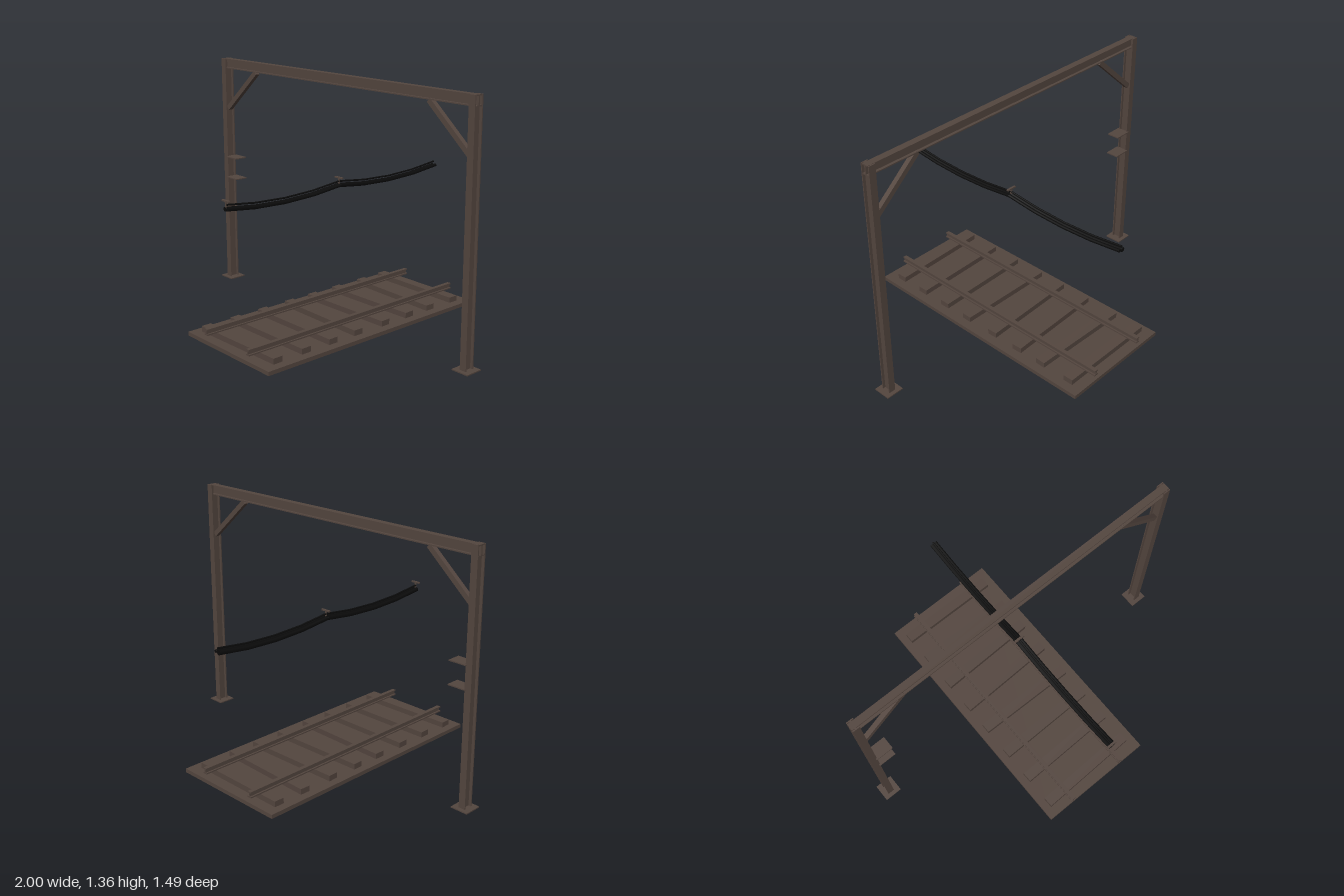
import * as THREE from 'three';

const steel = new THREE.MeshStandardMaterial({ color: 0x54463f });
steel.name = 'brown steel';
const rubber = new THREE.MeshStandardMaterial({ color: 0x0a0a0a });
rubber.name = 'black cable';

function add(parent, name, geometry, x, y, z, material = steel) {
  const mesh = new THREE.Mesh(geometry, material);
  mesh.name = name;
  mesh.position.set(x, y, z);
  parent.add(mesh);
  return mesh;
}

const box = (w, h, d) => new THREE.BoxGeometry(w, h, d);

// I-section of width w and height h, extruded along z and centred
function iBeam(w, h, flange, web, length, headWidth = w) {
  const a = w / 2, t = headWidth / 2, b = h / 2, c = b - flange, s = web / 2;
  const points = [
    [-a, -b], [a, -b], [a, -c], [s, -c], [s, c], [t, c],
    [t, b], [-t, b], [-t, c], [-s, c], [-s, -c], [-a, -c],
  ].map(([x, y]) => new THREE.Vector2(x, y));
  const geometry = new THREE.ExtrudeGeometry(new THREE.Shape(points), { depth: length, bevelEnabled: false });
  return geometry.translate(0, 0, -length / 2);
}

function buildGantry() {
  const gantry = new THREE.Group();
  gantry.name = 'gantry';

  // Crossbeam along x
  const beam = iBeam(0.038, 0.056, 0.006, 0.008, 1.94).rotateY(Math.PI / 2);
  add(gantry, 'crossbeam', beam, 0, 1.332, 0);

  // Posts, base plates and diagonal braces on both sides
  const post = iBeam(0.038, 0.056, 0.006, 0.008, 1.346).rotateX(-Math.PI / 2);
  const rise = 0.235, run = 0.27;
  for (const [side, label] of [[1, 'left'], [-1, 'right']]) {
    add(gantry, label + 'Post', post, side * 0.951, 0.687, 0);
    add(gantry, label + 'BasePlate', box(0.1, 0.006, 0.1), side * 0.95, 0.014, 0);
    const brace = add(gantry, label + 'Brace', box(Math.hypot(rise, run), 0.028, 0.026),
      side * 0.805, 1.184, 0);
    brace.rotation.z = -side * Math.atan2(rise, run);
  }

  // Small shelf plates on the right post
  for (const y of [0.65, 0.775]) {
    add(gantry, 'shelfPlate', box(0.1, 0.006, 0.074), -0.888, y, 0);
  }
  return gantry;
}

function buildCables() {
  const cables = new THREE.Group();
  cables.name = 'hangingCables';

  // Three cables sagging over two spans: x, end height, radius
  for (const [x, y, radius] of [[0.029, 0.791, 0.005], [0.022, 0.768, 0.0125], [0.044, 0.772, 0.009]]) {
    for (const z of [0.37, -0.37]) {
      const sag = new THREE.QuadraticBezierCurve3(
        new THREE.Vector3(0, 0, -0.37),
        new THREE.Vector3(0, -0.056, 0),
        new THREE.Vector3(0, 0, 0.37));
      add(cables, 'cable', new THREE.TubeGeometry(sag, 4, radius, 8), x, y, z, rubber);
      for (const end of [-1, 1]) {
        const cap = add(cables, 'cableEnd', new THREE.CircleGeometry(radius, 8), x, y, z + end * 0.37, rubber);
        if (end < 0) cap.rotation.y = Math.PI;
      }
    }
  }

  // T-shaped hangers
  for (const z of [0, 0.738]) {
    add(cables, 'hangerBar', box(0.058, 0.008, 0.012), 0.029, 0.81, z);
    add(cables, 'hangerStem', box(0.008, 0.03, 0.008), 0.029, 0.793, z);
  }
  return cables;
}

function buildTrack() {
  const track = new THREE.Group();
  track.name = 'track';
  add(track, 'trackBed', box(0.686, 0.022, 1.48), 0, 0.011, 0);

  // Sleepers, each slightly askew
  [-0.005, -0.032, 0.027, 0.03, -0.018, 0.009, 0.018, 0.027].forEach((turn, i) => {
    const sleeper = add(track, 'sleeper', box(0.59, 0.031, 0.058), -0.003, 0.0375, (i - 3.5) * 0.185);
    sleeper.rotation.y = turn;
  });

  // Rails
  const rail = iBeam(0.026, 0.033, 0.007, 0.007, 1.48, 0.023);
  for (const x of [-0.177, 0.177]) add(track, 'rail', rail, x, 0.069, 0);
  return track;
}

export function createModel() {
  const model = new THREE.Group();
  model.name = 'railwayGantry';
  model.add(buildGantry(), buildCables(), buildTrack());
  return model;
}
